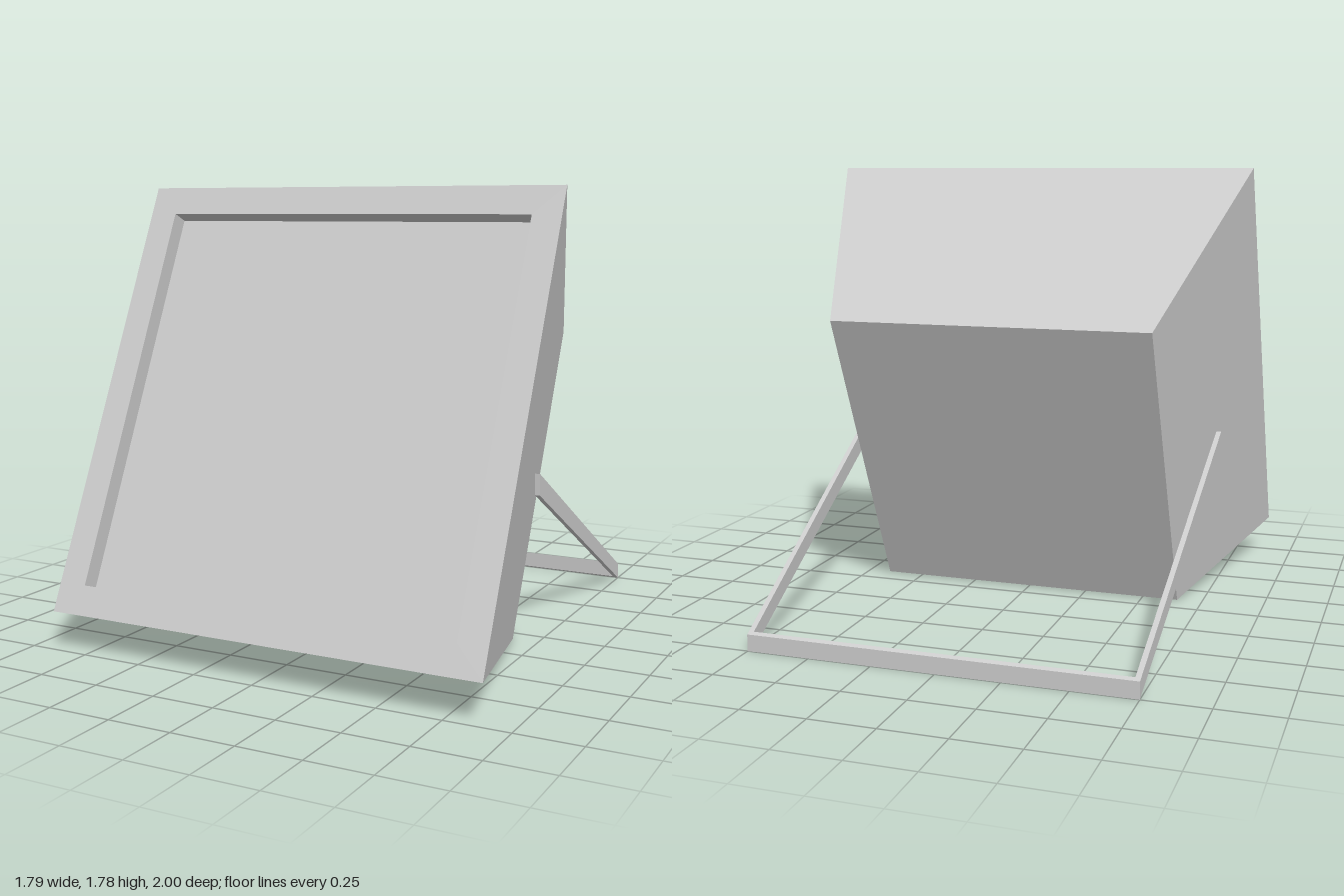
import * as THREE from 'three';

export function createModel() {
  const model = new THREE.Group();
  const material = new THREE.MeshStandardMaterial({ color: 0xcccccc, flatShading: true });

  // Tapered square housing with a recessed front panel: four-sided lathe, [half width, depth]
  const profile = [[0, -0.89], [0.65, -0.89], [0.896, 0], [0.78, 0], [0.78, -0.07], [0, -0.07]]
    .map(([w, d]) => new THREE.Vector2(w * Math.SQRT2, d));
  const housingGeo = new THREE.LatheGeometry(profile, 4, Math.PI / 4).rotateX(Math.PI / 2);
  const housing = new THREE.Mesh(housingGeo, material);
  housing.name = 'housing';
  housing.position.set(0, 0.967, 0.626);
  housing.rotation.x = -0.431; // leans back
  model.add(housing);

  // U-shaped stand: plan outline extruded upward, then sheared so the legs rise to the front
  const half = [[0.797, 0.21], [0.75, -1]];
  const inner = [[0.73, -0.985], [0.777, 0.21]];
  const mirror = (pts) => pts.map(([x, z]) => [-x, z]).reverse();
  const outline = [...half, ...mirror(half), ...mirror(inner), ...inner];
  const shape = new THREE.Shape(outline.map(([x, z]) => new THREE.Vector2(x, -z)));
  const standGeo = new THREE.ExtrudeGeometry(shape, { depth: 1, bevelEnabled: false });
  standGeo.rotateX(-Math.PI / 2);
  const pos = standGeo.attributes.position;
  for (let i = 0; i < pos.count; i++) {
    const t = (pos.getZ(i) + 1) / 1.21;
    pos.setY(i, 0.622 * t + pos.getY(i) * (0.065 + 0.018 * t));
  }
  standGeo.computeVertexNormals();
  const stand = new THREE.Mesh(standGeo, material);
  stand.name = 'stand';
  model.add(stand);

  return model;
}
